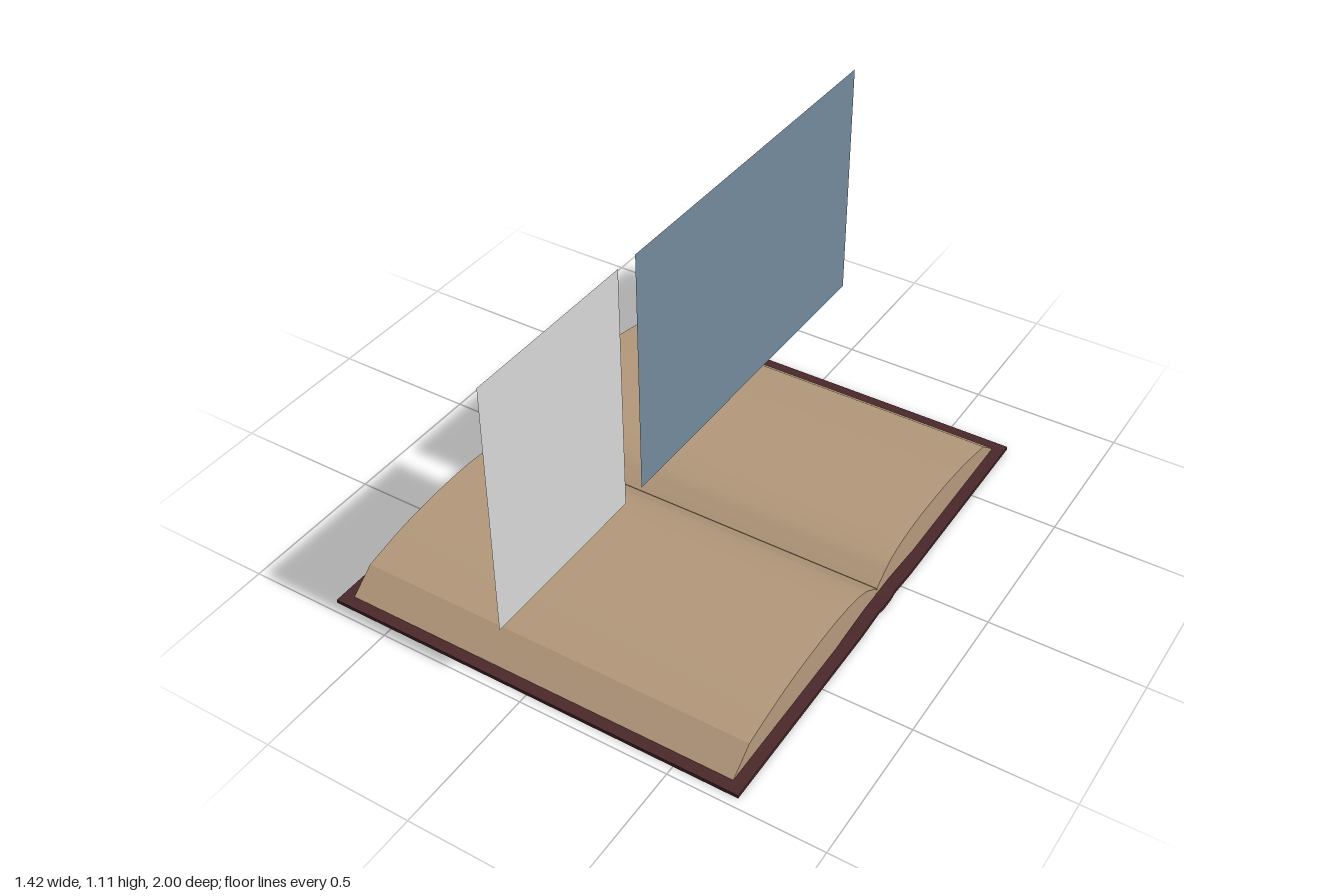
import * as THREE from 'three';
import { toCreasedNormals } from 'three/addons/utils/BufferGeometryUtils.js';

const GUTTER_Z = 0.097;

// Extrudes a (z, y) outline along x, centred on x = 0
function extrudeAcross(shape, width) {
  const geometry = new THREE.ExtrudeGeometry(shape, { depth: width, bevelEnabled: false, curveSegments: 24 });
  geometry.translate(0, 0, -width / 2);
  geometry.rotateY(-Math.PI / 2);
  return toCreasedNormals(geometry, 0.35);
}

function points(list) {
  return list.map(([a, b]) => new THREE.Vector2(a, b));
}

export function createModel() {
  const paper = new THREE.MeshStandardMaterial({ color: 0xb59a7c });
  const leather = new THREE.MeshStandardMaterial({ color: 0x4b282a });
  const greyCard = new THREE.MeshStandardMaterial({ color: 0xd9d9d9, side: THREE.DoubleSide });
  const blueCard = new THREE.MeshStandardMaterial({ color: 0x748b9e, side: THREE.DoubleSide });

  const model = new THREE.Group();
  model.name = 'openBook';
  function add(name, geometry, material, x = 0, y = 0, z = 0) {
    const mesh = new THREE.Mesh(geometry, material);
    mesh.name = name;
    mesh.position.set(x, y, z);
    model.add(mesh);
    return mesh;
  }

  // Page blocks: swelling from the gutter, with a bevelled fore edge
  const pages = new THREE.Shape();
  pages.moveTo(0, 0.05);
  pages.splineThru(points([[0.035, 0.074], [0.08, 0.1], [0.15, 0.12], [0.25, 0.131], [0.36, 0.132],
    [0.5, 0.124], [0.62, 0.108], [0.75, 0.081]]));
  pages.lineTo(0.834, 0.014);
  pages.lineTo(0.25, 0.014);
  pages.lineTo(0.08, 0.027);
  pages.lineTo(0, 0.027);
  pages.closePath();
  const pageGeometry = extrudeAcross(pages, 1.344);
  add('frontPages', pageGeometry, paper, 0, 0, GUTTER_Z + 0.001);
  add('backPages', pageGeometry, paper, 0, 0, GUTTER_Z - 0.001).rotation.y = Math.PI;

  // Cover: two thin boards joined by a slightly raised, folded spine
  const half = [[0.872, 0], [0.16, 0], [0.05, 0.008], [0.025, 0]];
  const lower = [...half, ...half.map(([z, y]) => [-z, y]).reverse()];
  const upper = lower.map(([z, y]) => [z, y + 0.012]).reverse();
  add('cover', extrudeAcross(new THREE.Shape(points([...lower, ...upper])), 1.42), leather, 0, 0, GUTTER_Z);

  // Upright cards floating above the pages
  function card(name, z0, z1, material) {
    const geometry = new THREE.PlaneGeometry(z1 - z0, 0.85);
    geometry.rotateY(Math.PI / 2);
    add(name, geometry, material, -0.05, 0.685, (z0 + z1) / 2);
  }
  card('smallCard', 0.37, 1, greyCard);
  card('largeCard', -1, 0.285, blueCard);

  return model;
}
